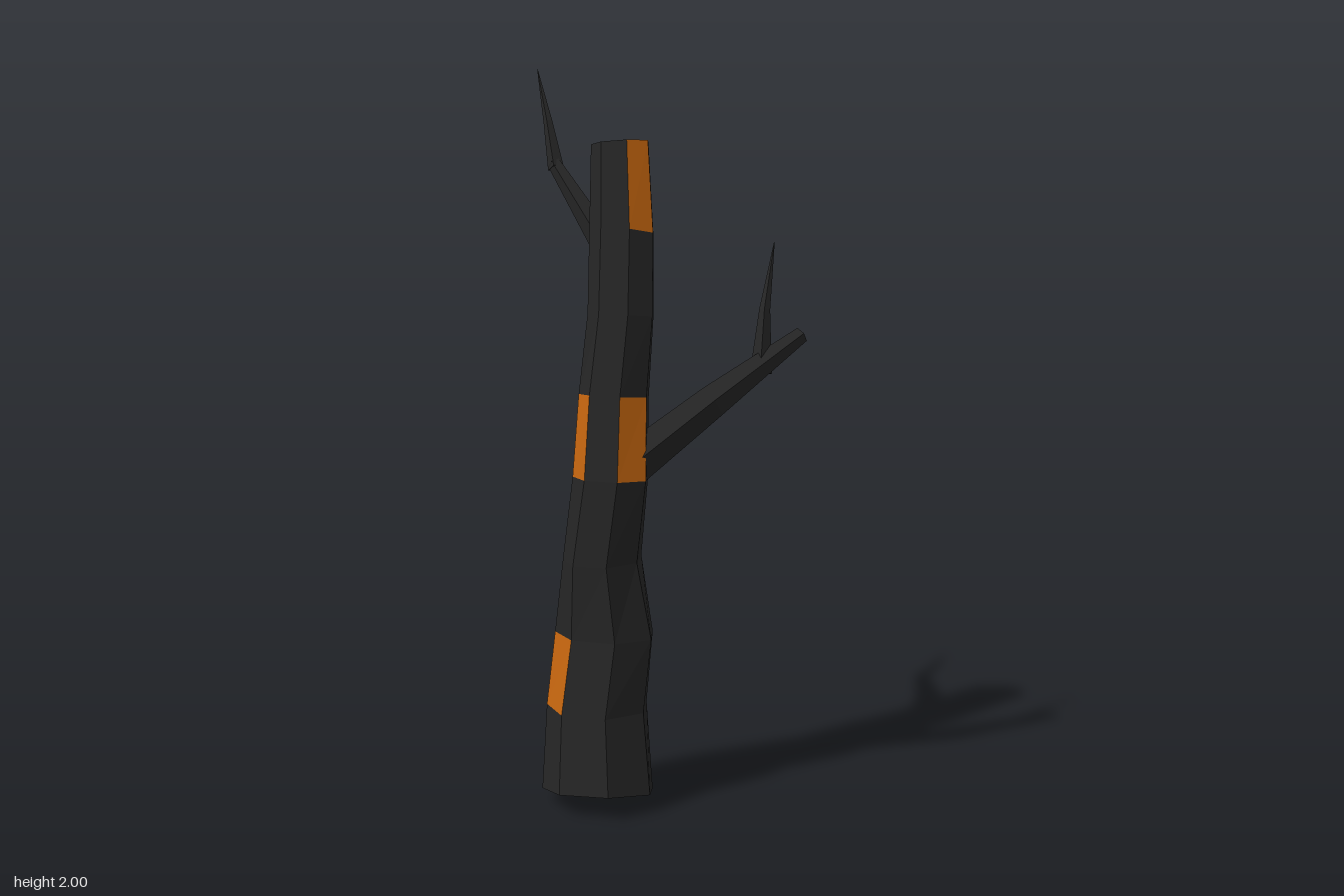
import * as THREE from 'three';

const bark = new THREE.MeshStandardMaterial({ color: 0x252525 });
bark.name = 'charred bark';
const ember = new THREE.MeshStandardMaterial({ color: 0xc6660f });
ember.name = 'ember orange';

// Faceted mesh from a flat list of triangle corners
function facetMesh(name, corners, material) {
  const geometry = new THREE.BufferGeometry().setFromPoints(corners);
  geometry.computeVertexNormals();
  const mesh = new THREE.Mesh(geometry, material);
  mesh.name = name;
  return mesh;
}

// Joins rings of points into capped walls; cells named in `picked` are kept apart
function loft(rings, picked = new Set()) {
  const plain = [], special = [];
  const n = rings[0].length;
  for (let i = 0; i < rings.length - 1; i++) {
    for (let k = 0; k < n; k++) {
      const m = (k + 1) % n;
      const a = rings[i][k], b = rings[i][m], c = rings[i + 1][k], d = rings[i + 1][m];
      (picked.has(`${i}:${k}`) ? special : plain).push(a, c, b, b, c, d);
    }
  }
  const first = rings[0], last = rings[rings.length - 1];
  for (let k = 1; k < n - 1; k++) {
    plain.push(first[0], first[k], first[k + 1]);
    plain.push(last[0], last[k + 1], last[k]);
  }
  return { plain, special };
}

// Tapering limb along a path of [x, y, z, radius]
function limb(name, path, sides = 5) {
  const pts = path.map(([x, y, z]) => new THREE.Vector3(x, y, z));
  const rings = path.map((p, i) => {
    const dir = pts[Math.min(i + 1, pts.length - 1)].clone().sub(pts[Math.max(i - 1, 0)]).normalize();
    const u = new THREE.Vector3(0.3, 0, 1).projectOnPlane(dir).normalize();
    const v = u.clone().cross(dir);
    return Array.from({ length: sides }, (_, k) => {
      const t = (k / sides) * Math.PI * 2;
      return pts[i].clone().addScaledVector(u, Math.cos(t) * p[3]).addScaledVector(v, Math.sin(t) * p[3]);
    });
  });
  return facetMesh(name, loft(rings).plain, bark);
}

export function createModel() {
  const model = new THREE.Group();
  model.name = 'burntTree';

  // Trunk rings: y, centre x, centre z, radius x, radius z, slope along x, slope along z
  const trunkRings = [
    [0.03, -0.029, 0.138, 0.159, 0.155, 0.07, 0.2],
    [0.262, -0.044, 0.113, 0.142, 0.144, 0, 0.03],
    [0.46, -0.034, 0.085, 0.142, 0.131, 0, 0.05],
    [0.67, -0.041, 0.088, 0.107, 0.124, 0, 0],
    [0.895, -0.016, 0.085, 0.106, 0.106, 0, 0.06],
    [1.115, -0.023, 0.049, 0.098, 0.1, 0, 0.1],
    [1.33, -0.017, 0.017, 0.094, 0.088, 0, 0.1],
    [1.55, -0.033, -0.024, 0.093, 0.082, 0, 0.2],
    [1.79, -0.053, -0.055, 0.083, 0.074, 0.08, 0.07],
  ].map(([y, cx, cz, rx, rz, sx, sz]) =>
    Array.from({ length: 7 }, (_, k) => {
      const t = (k / 7) * Math.PI * 2 + 0.09;
      const dx = Math.cos(t) * rx, dz = Math.sin(t) * rz;
      return new THREE.Vector3(cx + dx, y + sx * dx + sz * dz, cz + dz);
    }));

  // Glowing cells, as band:face
  const glow = new Set(['1:2', '1:3', '4:0', '4:2', '7:0', '7:4', '7:5']);
  const { plain, special } = loft(trunkRings, glow);
  model.add(facetMesh('trunk', plain, bark), facetMesh('emberPatches', special, ember));

  // Left branch with its upright twig
  model.add(
    limb('leftBranch', [
      [0.03, 0.93, 0.055, 0.06],
      [0.22, 1.1, -0.05, 0.047],
      [0.4, 1.27, -0.253, 0.023],
    ]),
    limb('leftTwig', [
      [0.318, 1.17, -0.16, 0.03],
      [0.312, 1.34, -0.2, 0.015],
      [0.307, 1.52, -0.283, 0.001],
    ], 4),
  );

  // Right branch with its pointed end
  model.add(
    limb('rightBranch', [
      [-0.05, 1.41, -0.06, 0.05],
      [-0.12, 1.5, -0.11, 0.04],
      [-0.308, 1.735, -0.155, 0.02],
    ]),
    limb('rightTwig', [
      [-0.3, 1.72, -0.15, 0.023],
      [-0.35, 1.85, -0.2, 0.013],
      [-0.42, 2.0, -0.272, 0.001],
    ], 4),
  );

  return model;
}
